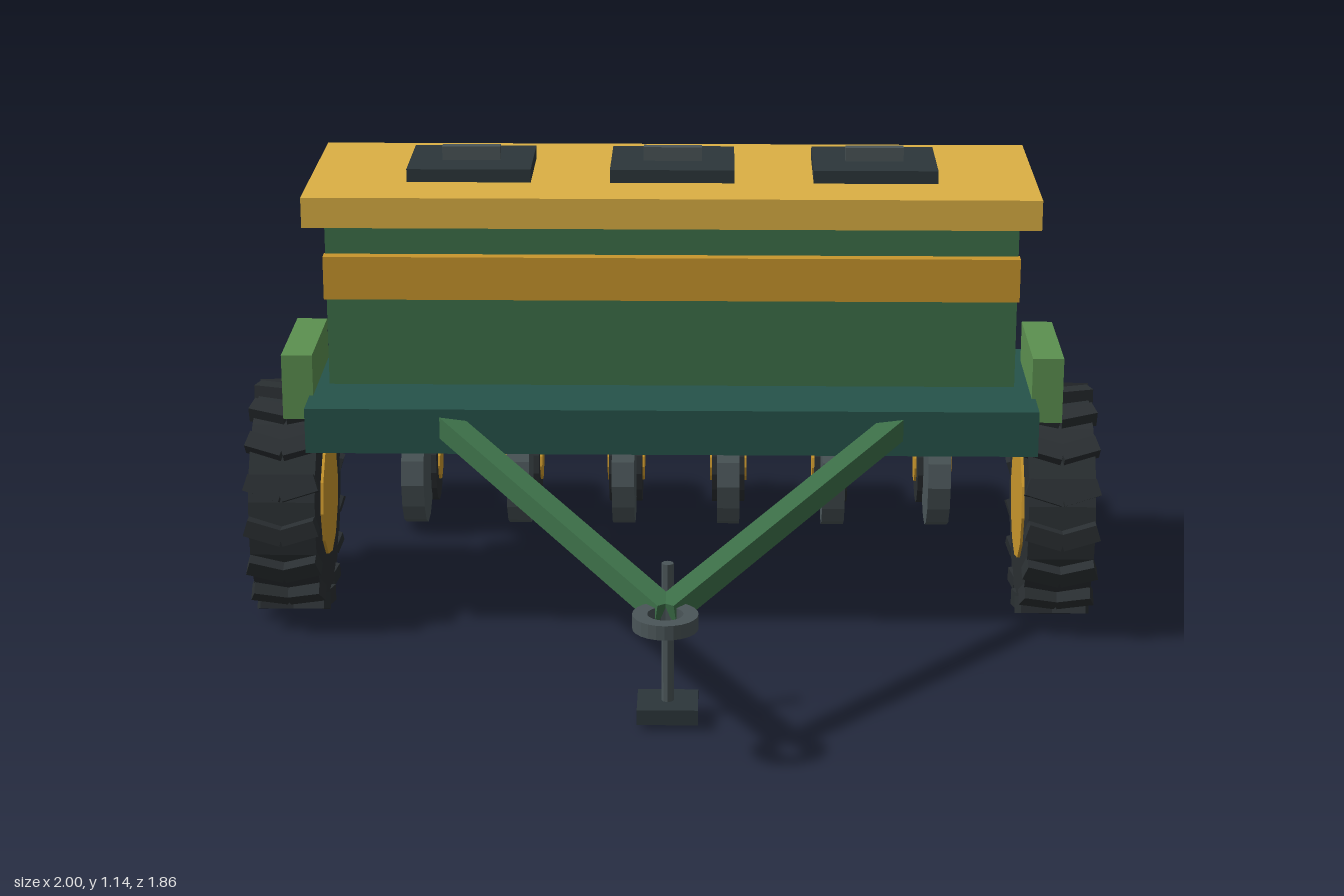
import * as THREE from 'three';

const mat = (color) => new THREE.MeshStandardMaterial({ color, flatShading: true });
const M = {
  green: mat(0x3d7049), frame: mat(0x26534a), lime: mat(0x5c9050),
  lid: mat(0xdcb044), orange: mat(0xc9962c), dark: mat(0x2c363a),
  steel: mat(0x4a5558), tire: mat(0x2a2f32), hose: mat(0x1b1d1f), bolt: mat(0x7d868a),
};

function add(parent, name, geometry, material, x = 0, y = 0, z = 0) {
  const mesh = new THREE.Mesh(geometry, material);
  mesh.name = name;
  mesh.position.set(x, y, z);
  parent.add(mesh);
  return mesh;
}

// Box given by its min and max corners
function box(parent, name, material, [x0, y0, z0], [x1, y1, z1]) {
  return add(parent, name, new THREE.BoxGeometry(x1 - x0, y1 - y0, z1 - z0), material,
    (x0 + x1) / 2, (y0 + y1) / 2, (z0 + z1) / 2);
}

// Cylinder with its axis along x
function disc(parent, name, material, r, width, sides, x = 0, y = 0, z = 0) {
  return add(parent, name, new THREE.CylinderGeometry(r, r, width, sides).rotateZ(Math.PI / 2), material, x, y, z);
}

// Bar of any cross-section geometry (long in z) laid between two points
function between(parent, name, material, a, b, makeGeometry) {
  const p = new THREE.Vector3(...a), q = new THREE.Vector3(...b);
  const mesh = add(parent, name, makeGeometry(p.distanceTo(q)), material);
  mesh.position.copy(p).add(q).multiplyScalar(0.5);
  mesh.lookAt(q);
  return mesh;
}

// Ground wheel with chevron lugs, outer face towards +x
function driveWheel() {
  const wheel = new THREE.Group();
  wheel.name = 'driveWheel';
  disc(wheel, 'tire', M.tire, 0.25, 0.155, 24);
  disc(wheel, 'rim', M.orange, 0.145, 0.168, 12);
  disc(wheel, 'hub', M.steel, 0.06, 0.04, 12, 0.074);
  for (let i = 0; i < 6; i++) {
    const a = (i / 6) * Math.PI * 2;
    disc(wheel, 'bolt', M.bolt, 0.01, 0.02, 6, 0.083, Math.cos(a) * 0.088, Math.sin(a) * 0.088);
  }
  const lugGeometry = new THREE.BoxGeometry(0.088, 0.04, 0.04);
  for (let i = 0; i < 16; i++) {
    const lug = new THREE.Group();
    lug.name = 'lug';
    lug.rotation.x = (i / 16) * Math.PI * 2;
    for (const s of [-1, 1]) {
      add(lug, 'lugHalf', lugGeometry, M.tire, s * 0.04, 0.255, 0).rotation.y = s * 0.3;
    }
    wheel.add(lug);
  }
  return wheel;
}

// One planting row: arm, gearbox, seed hose, opener disc, press wheel
function rowUnit() {
  const row = new THREE.Group();
  row.name = 'rowUnit';
  box(row, 'arm', M.green, [-0.063, 0.46, -0.705], [0.063, 0.525, -0.3]);
  box(row, 'gearbox', M.orange, [-0.07, 0.28, -0.69], [0.07, 0.393, -0.5]);
  between(row, 'seedHose', M.hose, [0, 0.65, -0.175], [0, 0.282, -0.56],
    (l) => new THREE.CylinderGeometry(0.028, 0.028, l, 10).rotateX(Math.PI / 2));
  disc(row, 'openerDisc', M.steel, 0.14, 0.057, 14, 0, 0.152, -0.663);
  disc(row, 'pressWheel', M.tire, 0.105, 0.085, 14, 0, 0.117, -0.826);
  disc(row, 'pressWheelHub', M.orange, 0.05, 0.096, 12, 0, 0.117, -0.826);
  return row;
}

export function createModel() {
  const model = new THREE.Group();
  model.name = 'seeder';

  // Frame and seed hopper
  box(model, 'frame', M.frame, [-0.843, 0.47, -0.35], [0.843, 0.577, 0.145]);
  box(model, 'hopper', M.green, [-0.785, 0.63, -0.325], [0.785, 1.01, 0.12]);
  box(model, 'hopperLid', M.lid, [-0.832, 1.01, -0.372], [0.832, 1.08, 0.158]);
  box(model, 'frontStripe', M.orange, [-0.788, 0.84, 0.115], [0.788, 0.94, 0.148]);

  // Filler hatches with handles
  for (const x of [-0.465, 0, 0.465]) {
    box(model, 'hatch', M.dark, [x - 0.142, 1.08, -0.225], [x + 0.142, 1.11, 0.01]);
    box(model, 'hatchHandle', M.steel, [x - 0.067, 1.11, -0.104], [x + 0.067, 1.142, -0.08]);
  }

  // Wheels, their brackets and the drawbar arms, mirrored
  for (const s of [-1, 1]) {
    const wheel = driveWheel();
    wheel.position.set(s * 0.905, 0.28, -0.105);
    wheel.scale.x = s;
    model.add(wheel);
    add(model, 'wheelBracket', new THREE.BoxGeometry(0.072, 0.155, 0.3), M.lime, s * 0.87, 0.597, -0.105);
    between(model, 'drawbarArm', M.green, [s * 0.52, 0.535, 0.12], [0, 0.35, 0.82],
      (l) => new THREE.BoxGeometry(0.05, 0.05, l));
  }

  // Hitch ring
  const ring = new THREE.Shape().absarc(0, 0, 0.07, 0, Math.PI * 2);
  ring.holes.push(new THREE.Path().absarc(0, 0, 0.038, 0, Math.PI * 2, true));
  const ringGeometry = new THREE.ExtrudeGeometry(ring, { depth: 0.032, bevelEnabled: false, curveSegments: 12 });
  add(model, 'hitchRing', ringGeometry.rotateX(-Math.PI / 2), M.steel, 0, 0.334, 0.862);

  // Parking jack
  add(model, 'jackPost', new THREE.CylinderGeometry(0.0135, 0.0135, 0.33, 8), M.steel, 0, 0.213, 0.597);
  box(model, 'jackFoot', M.dark, [-0.067, 0.02, 0.538], [0.067, 0.055, 0.656]);

  // Six evenly spaced row units
  for (let i = 0; i < 6; i++) {
    const row = rowUnit();
    row.position.x = (i - 2.5) * 0.267;
    model.add(row);
  }
  return model;
}
